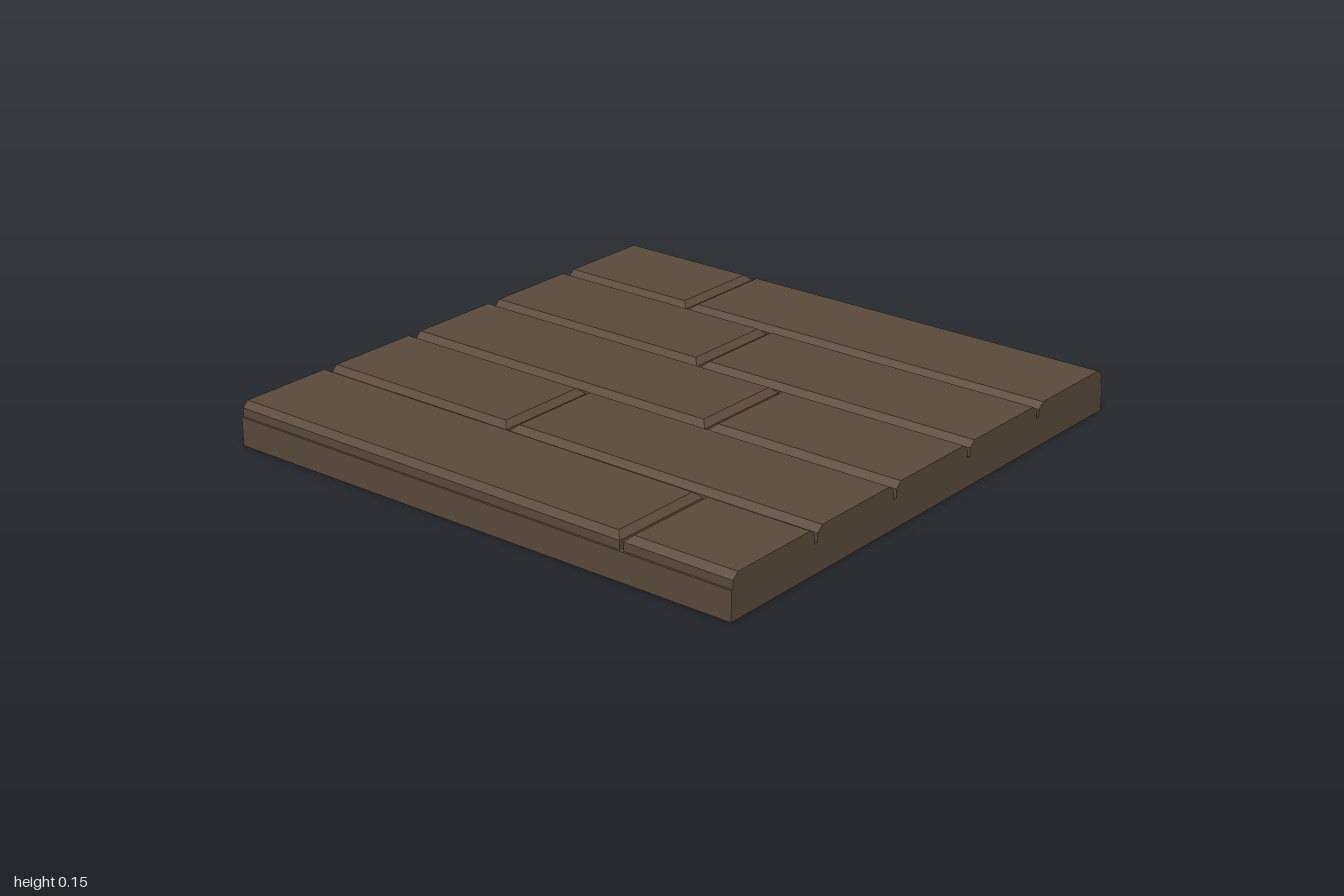
import * as THREE from 'three';

const BASE_TOP = 0.1, BEVEL_START = 0.13, TOP = 0.15;
const BEVEL = 0.022, GAP = 0.007; // GAP is half the groove width
const ROW_DEPTH = 0.4;
const JOINTS = [-0.452, -0.082, 0.27, -0.213, 0.592]; // one butt joint per row, back to front

// Plank from x0 to x1 with a chamfered top; ends on the tile's sides stay flush
function plankGeometry(x0, x1, zc) {
  const half = ROW_DEPTH / 2 - GAP;
  const geo = new THREE.BoxGeometry(2, 2, 2, 1, 2, 1);
  const p = geo.attributes.position;
  for (let i = 0; i < p.count; i++) {
    const sx = p.getX(i), sy = p.getY(i), sz = p.getZ(i);
    const inset = sy > 0.5 ? BEVEL : 0;
    const end = sx < 0 ? x0 : x1;
    const flush = Math.abs(end) > 0.999;
    const y = sy > 0.5 ? TOP : sy < -0.5 ? BASE_TOP : BEVEL_START;
    p.setXYZ(i, end - (flush ? 0 : Math.sign(sx) * inset), y, zc + Math.sign(sz) * (half - inset));
  }
  const flat = geo.toNonIndexed();
  flat.computeVertexNormals();
  return flat;
}

export function createModel() {
  const group = new THREE.Group();
  group.name = 'plankFloorTile';
  const wood = new THREE.MeshStandardMaterial({ color: 0x5a4a3c });
  wood.name = 'dark brown wood';

  // Solid slab below the grooves
  const base = new THREE.Mesh(new THREE.BoxGeometry(2, BASE_TOP, 2), wood);
  base.name = 'baseSlab';
  base.position.y = BASE_TOP / 2;
  group.add(base);

  // Five rows of two planks each
  JOINTS.forEach((joint, row) => {
    const zc = -1 + ROW_DEPTH * (row + 0.5);
    const left = new THREE.Mesh(plankGeometry(joint + GAP, 1, zc), wood);
    left.name = `leftPlank${row + 1}`;
    const right = new THREE.Mesh(plankGeometry(-1, joint - GAP, zc), wood);
    right.name = `rightPlank${row + 1}`;
    group.add(left, right);
  });
  return group;
}
